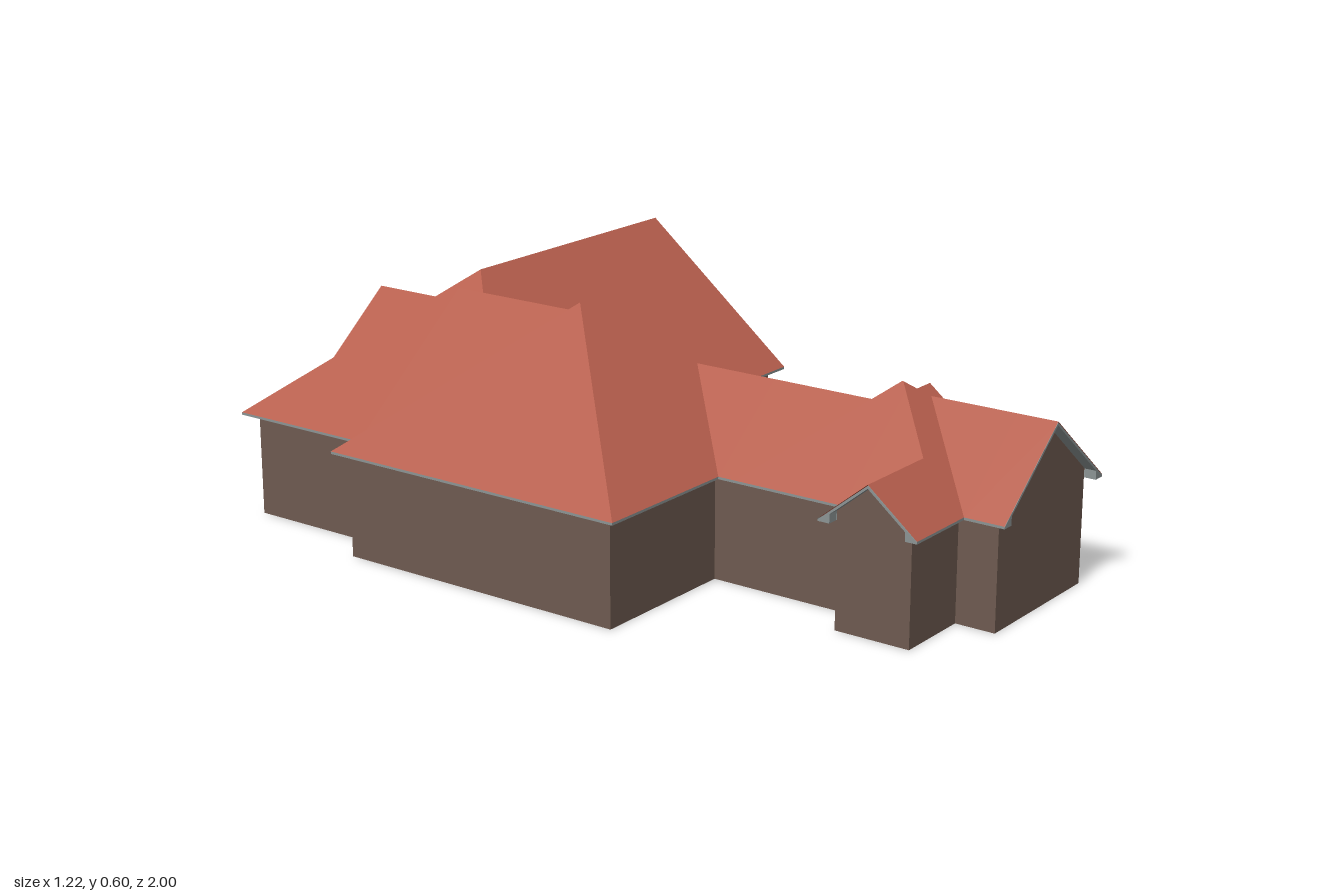
import * as THREE from 'three';
import { mergeGeometries } from 'three/addons/utils/BufferGeometryUtils.js';

const EAVE = 0.262, SOFFIT = 0.256, PITCH = 0.81, OVERHANG = 0.03;

// Roof masses: plan box [x0, x1, z0, z1] and which of its sides slope up from an eave
const masses = [
  { name: 'mainRoof', box: [-0.515, 0.61, -0.905, -0.07], eaves: [0, 2, 3] },
  { name: 'sideWingRoof', box: [-0.61, 0.22, -0.515, 0.315], eaves: [0, 1, 2, 3] },
  { name: 'frontHipRoof', box: [-0.22, 0.317, 0.36, 0.9], eaves: [0, 1, 2, 3] },
  { name: 'linkRoof', box: [-0.515, 0.22, -0.4875, -0.1], eaves: [0, 1] },
  { name: 'middleRoof', box: [-0.22, 0.22, -0.1, 0.63], eaves: [0, 1] },
  { name: 'backGableRoof', box: [-0.127, 0.317, -1, -0.4875], eaves: [0, 1] },
  { name: 'frontGableRoof', box: [-0.127, 0.317, 0.63, 1], eaves: [0, 1] },
  { name: 'leftBayRoof', box: [0.05, 0.413, 0.36, 0.61], eaves: [2, 3] },
  { name: 'rightBayRoof', box: [-0.32, 0.05, 0.65, 0.9], eaves: [2, 3] },
];

// Eave outline in plan (x, z), clockwise seen from above
const outline = [
  [-0.127, -1], [0.317, -1], [0.317, -0.905], [0.61, -0.905], [0.61, -0.07], [0.22, -0.07],
  [0.22, 0.36], [0.413, 0.36], [0.413, 0.61], [0.317, 0.61], [0.317, 1], [-0.127, 1],
  [-0.127, 0.9], [-0.32, 0.9], [-0.32, 0.65], [-0.22, 0.65], [-0.22, 0.315], [-0.61, 0.315],
  [-0.61, -0.515], [-0.515, -0.515], [-0.515, -0.905], [-0.127, -0.905],
];
// Outline edges that end in a gable instead of an eave
const gables = [0, 3, 7, 10, 13];

// Flat convex polygon as a fan
function polygon(points) {
  const geometry = new THREE.BufferGeometry();
  geometry.setAttribute('position', new THREE.Float32BufferAttribute(points.flat(), 3));
  geometry.setIndex(points.slice(2).flatMap((_, i) => [0, i + 1, i + 2]));
  geometry.computeVertexNormals();
  return geometry;
}

// Distance inward from side k of a mass
const depth = (mass, k) => (p) => (k % 2 ? -1 : 1) * (p[k >> 1] - mass.box[k]);

// Part of a plan polygon where the linear function f is not negative
function clip(poly, f) {
  return poly.flatMap((p, i) => {
    const q = poly[(i + 1) % poly.length], a = f(p), b = f(q), t = a / (a - b);
    const kept = a >= 0 ? [p] : [];
    if (a * b < 0) kept.push([p[0] + (q[0] - p[0]) * t, p[1] + (q[1] - p[1]) * t]);
    return kept;
  });
}

function area(poly) {
  return Math.abs(poly.reduce((sum, p, i) => {
    const q = poly[(i + 1) % poly.length];
    return sum + p[0] * q[1] - p[1] * q[0];
  }, 0)) / 2;
}

// One roof slope, without the parts buried under the other masses
function slopePieces(index, side) {
  const mass = masses[index], rise = depth(mass, side);
  const [x0, x1, z0, z1] = mass.box;
  let face = [[x0, z0], [x0, z1], [x1, z1], [x1, z0]];
  for (const k of mass.eaves) {
    if (k !== side) face = clip(face, (p) => depth(mass, k)(p) - rise(p));
  }
  let pieces = [face];
  masses.forEach((other, j) => {
    if (j === index) return;
    const tie = j < index ? 1e-6 : -1e-6; // of two flush slopes the first stays
    const tests = [
      ...[0, 1, 2, 3].map((k) => (p) => depth(other, k)(p) + 1e-6),
      ...other.eaves.map((k) => (p) => depth(other, k)(p) - rise(p) + tie),
    ];
    pieces = pieces.flatMap((piece) => {
      const kept = [];
      let rest = piece;
      for (const f of tests) {
        kept.push(clip(rest, (p) => -f(p)));
        rest = clip(rest, f);
      }
      return area(rest) > 1e-6 ? kept.filter((part) => area(part) > 1e-5) : [piece];
    });
  });
  return pieces.map((piece) => polygon(piece.map((p) => [p[0], EAVE + PITCH * rise(p), p[1]])));
}

export function createModel() {
  const model = new THREE.Group();
  model.name = 'house';
  const material = (name, color) => {
    const m = new THREE.MeshStandardMaterial({ color, side: THREE.DoubleSide });
    m.name = name;
    return m;
  };
  const roofRed = material('roofRed', 0xb65e4c);
  const wallBrown = material('wallBrown', 0x6e5a50);
  const trimGrey = material('trimGrey', 0x8c9494);

  const groups = {};
  for (const name of ['roof', 'walls', 'eaves']) {
    groups[name] = new THREE.Group();
    groups[name].name = name;
    model.add(groups[name]);
  }
  const add = (group, name, geometry, mat) => {
    const mesh = new THREE.Mesh(geometry, mat);
    mesh.name = name;
    groups[group].add(mesh);
    return mesh;
  };

  // Roof
  masses.forEach((mass, i) => {
    const pieces = mass.eaves.flatMap((side) => slopePieces(i, side));
    add('roof', mass.name, mergeGeometries(pieces), roofRed);
  });

  // Wall line: the outline moved inward by the overhang
  const n = outline.length;
  const inward = outline.map(([x, z], i) => {
    const [x2, z2] = outline[(i + 1) % n];
    return [-Math.sign(z2 - z), Math.sign(x2 - x)];
  });
  const wallLine = outline.map(([x, z], i) => {
    const a = inward[i], b = inward[(i + n - 1) % n];
    return [x + OVERHANG * (a[0] + b[0]), z + OVERHANG * (a[1] + b[1])];
  });

  const wallTop = EAVE + PITCH * OVERHANG - 0.004;
  for (let i = 0; i < n; i++) {
    const j = (i + 1) % n;
    const [ax, az] = wallLine[i], [bx, bz] = wallLine[j];
    const [ox, oz] = outline[i], [px, pz] = outline[j];
    const wall = [[bx, 0, bz], [ax, 0, az], [ax, wallTop, az]];

    if (gables.includes(i)) {
      // Gable wall with its pointed top
      const half = Math.hypot(px - ox, pz - oz) / 2;
      const apex = EAVE + PITCH * half;
      wall.push([(ax + bx) / 2, apex - 0.004, (az + bz) / 2]);

      // Rake boards with boxed ends, under the gable overhang
      const inner = half - OVERHANG;
      const shape = new THREE.Shape([
        [-half, SOFFIT], [-inner, SOFFIT], [-inner, wallTop - 0.005], [0, apex - 0.009],
        [inner, wallTop - 0.005], [inner, SOFFIT], [half, SOFFIT],
        [half, EAVE - 0.002], [0, apex - 0.002], [-half, EAVE - 0.002],
      ].map(([x, y]) => new THREE.Vector2(x, y)));
      const rake = add('eaves', 'rakeBoards',
        new THREE.ExtrudeGeometry(shape, { depth: OVERHANG - 0.001, bevelEnabled: false }), trimGrey);
      const [ix, iz] = inward[i];
      rake.position.set((ax + bx) / 2 - ix * 0.001, 0, (az + bz) / 2 - iz * 0.001);
      rake.rotation.y = Math.atan2(-ix, -iz);
    } else {
      // Fascia and level soffit along the eave
      add('eaves', 'fascia', polygon([[px, SOFFIT, pz], [ox, SOFFIT, oz], [ox, EAVE, oz], [px, EAVE, pz]]), trimGrey);
      add('eaves', 'soffit', polygon([[ox, SOFFIT, oz], [px, SOFFIT, pz], [bx, SOFFIT, bz], [ax, SOFFIT, az]]), trimGrey);
    }
    wall.push([bx, wallTop, bz]);
    add('walls', gables.includes(i) ? 'gableWall' : 'wall', polygon(wall), wallBrown);
  }
  return model;
}
